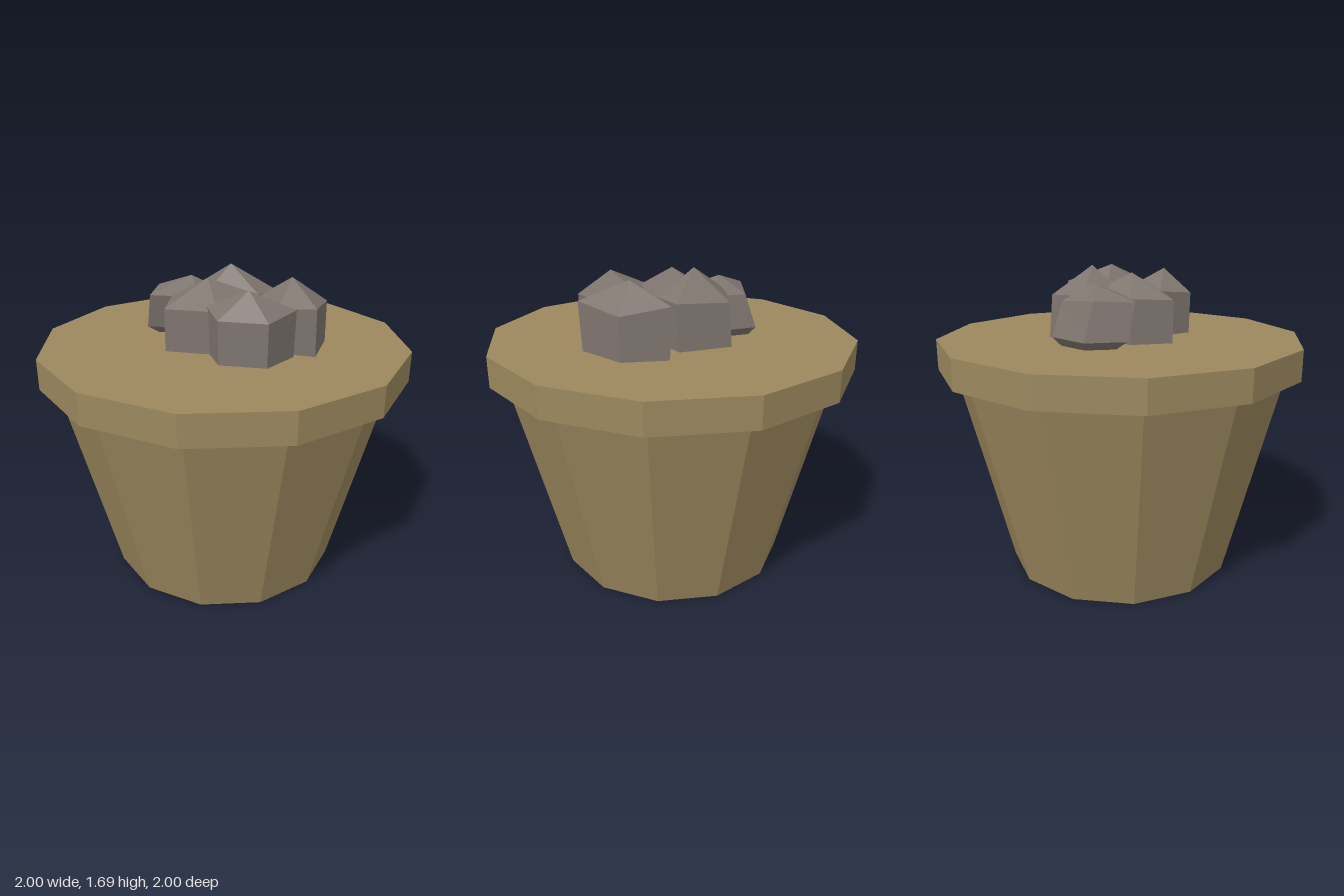
import * as THREE from 'three';

const clay = new THREE.MeshStandardMaterial({ color: 0x9c885e });
clay.name = 'clay brown';
const stone = new THREE.MeshStandardMaterial({ color: 0x7f756f });
stone.name = 'stone grey';

// Twelve-sided faceted section of the pot
function section(name, top, bottom, y0, y1) {
  const geo = new THREE.CylinderGeometry(top, bottom, y1 - y0, 12).toNonIndexed();
  geo.computeVertexNormals();
  const mesh = new THREE.Mesh(geo, clay);
  mesh.name = name;
  mesh.position.y = (y0 + y1) / 2;
  return mesh;
}

// Five-sided stone: apex, shoulder ring (front, right, back, left order), lower ring, buried tip
function rock({ apex, ring, low }) {
  const [dx, dz, scale, y] = low;
  const lower = ring.map(([x, , z]) => [
    apex[0] + (x - apex[0]) * scale + dx, y, apex[2] + (z - apex[2]) * scale + dz]);
  const tip = [apex[0] + dx, 1.17, apex[2] + dz];
  const pos = [];
  for (let i = 0; i < 5; i++) {
    const j = (i + 1) % 5;
    pos.push(...apex, ...ring[i], ...ring[j]);
    pos.push(...ring[i], ...lower[i], ...lower[j], ...ring[i], ...lower[j], ...ring[j]);
    pos.push(...tip, ...lower[j], ...lower[i]);
  }
  const geo = new THREE.BufferGeometry();
  geo.setAttribute('position', new THREE.Float32BufferAttribute(pos, 3));
  geo.computeVertexNormals();
  return new THREE.Mesh(geo, stone);
}

const rocks = {
  frontStone: {
    apex: [0.18, 1.655, 0.27], low: [0, 0, 0.97, 1.28],
    ring: [[0.05, 1.53, 0.4], [0.3, 1.53, 0.4], [0.41, 1.55, 0.2], [0.18, 1.56, 0.09], [-0.05, 1.55, 0.21]],
  },
  rightStone: {
    apex: [0.36, 1.665, -0.01], low: [0.01, -0.01, 0.95, 1.28],
    ring: [[0.31, 1.54, 0.18], [0.51, 1.56, 0.2], [0.54, 1.53, -0.09], [0.36, 1.57, -0.27], [0.19, 1.55, -0.06]],
  },
  middleStone: {
    apex: [-0.075, 1.655, 0.053], low: [0, 0, 1, 1.28],
    ring: [[-0.26, 1.53, 0.245], [0.02, 1.53, 0.25], [0.22, 1.55, -0.02], [-0.06, 1.55, -0.17], [-0.28, 1.54, 0.02]],
  },
  backStone: {
    apex: [0.01, 1.69, -0.15], low: [0, -0.02, 1, 1.28],
    ring: [[-0.1, 1.56, -0.01], [0.18, 1.55, -0.05], [0.24, 1.55, -0.21], [0, 1.535, -0.37], [-0.2, 1.55, -0.21]],
  },
  leftStone: {
    apex: [-0.215, 1.615, -0.16], low: [-0.03, -0.05, 1.02, 1.35],
    ring: [[-0.4, 1.54, 0.03], [-0.12, 1.54, 0.02], [-0.04, 1.53, -0.2], [-0.225, 1.53, -0.325], [-0.41, 1.55, -0.18]],
  },
};

export function createModel() {
  const model = new THREE.Group();
  model.name = 'pot with stones';
  model.add(section('potBody', 0.915, 0.63, 0, 1.145));
  model.add(section('potRim', 1, 1, 1.14, 1.305));

  const pile = new THREE.Group();
  pile.name = 'stonePile';
  for (const [name, spec] of Object.entries(rocks)) {
    const mesh = rock(spec);
    mesh.name = name;
    pile.add(mesh);
  }
  model.add(pile);
  return model;
}
